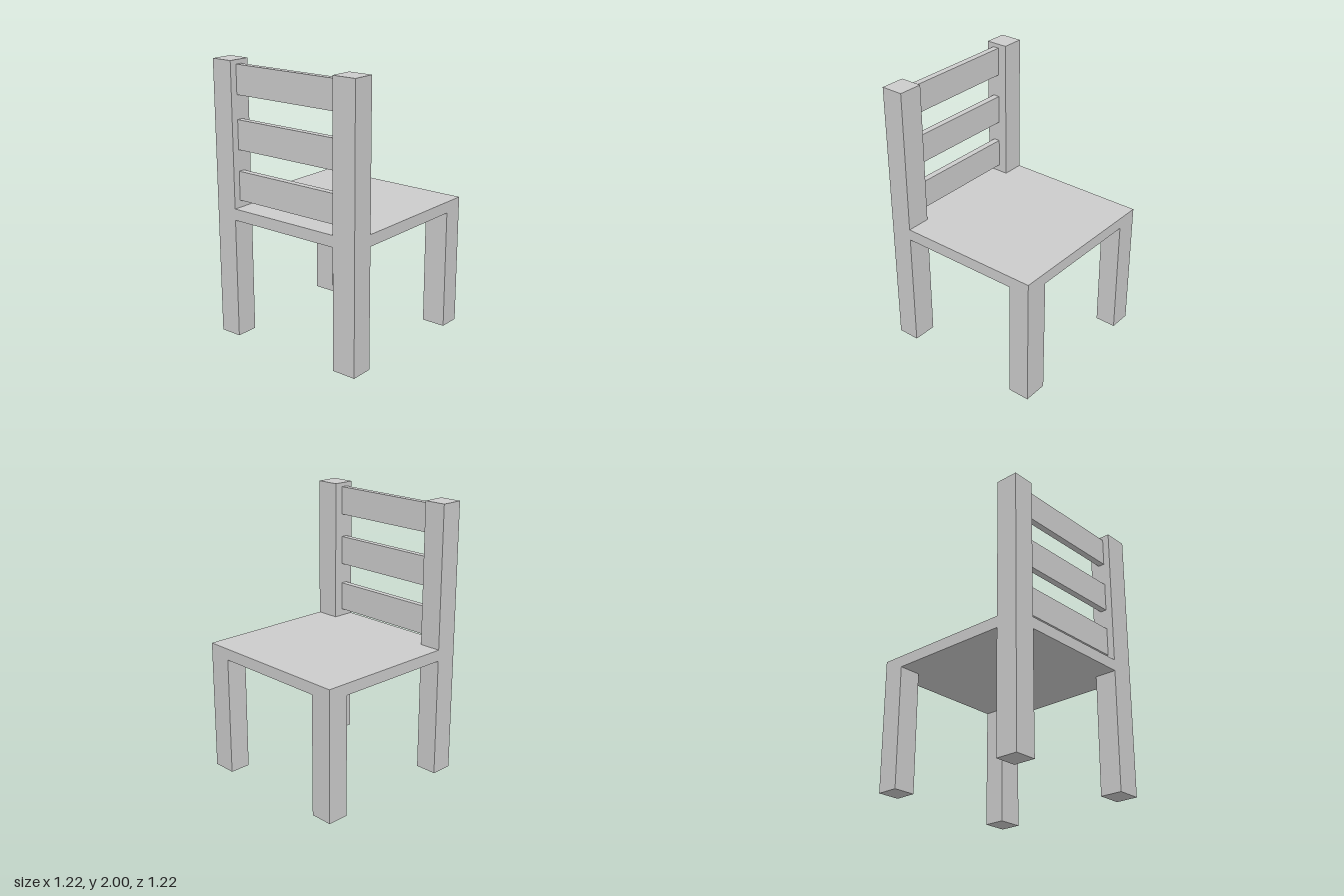
import * as THREE from 'three';

export function createModel() {
  const model = new THREE.Group();
  model.name = 'chair';
  const material = new THREE.MeshStandardMaterial({ color: 0xcccccc, flatShading: true });

  // Box given by its lower and upper limits on each axis
  function block(name, [x0, x1], [y0, y1], [z0, z1]) {
    const mesh = new THREE.Mesh(new THREE.BoxGeometry(x1 - x0, y1 - y0, z1 - z0), material);
    mesh.position.set((x0 + x1) / 2, (y0 + y1) / 2, (z0 + z1) / 2);
    mesh.name = name;
    model.add(mesh);
  }

  const half = 0.612;
  const innerRight = -0.447, innerLeft = 0.432; // inner faces of the legs
  const postZ = 0.447;
  const seatBottom = 0.88, seatTop = 0.963;

  // Tall backrest posts and short legs at the opposite edge
  const sides = { right: [-half, innerRight], left: [innerLeft, half] };
  for (const [side, xRange] of Object.entries(sides)) {
    block(`${side}BackrestPost`, xRange, [0, 2], [postZ, half]);
    block(`${side}ShortLeg`, xRange, [0, seatBottom], [-half, -0.455]);
  }

  // Seat, notched around the posts
  const outline = new THREE.Shape([
    [-half, -half], [half, -half], [half, postZ], [innerLeft, postZ],
    [innerLeft, half], [innerRight, half], [innerRight, postZ], [-half, postZ],
  ].map(([x, z]) => new THREE.Vector2(x, z)));
  const seatGeometry = new THREE.ExtrudeGeometry(outline, {
    depth: seatTop - seatBottom, bevelEnabled: false,
  });
  seatGeometry.rotateX(Math.PI / 2);
  const seat = new THREE.Mesh(seatGeometry, material);
  seat.position.y = seatTop;
  seat.name = 'seat';
  model.add(seat);

  // Backrest slats between the posts
  [[1.015, 1.225], [1.378, 1.59], [1.762, 1.97]].forEach((yRange, i) =>
    block(`backrestSlat${i + 1}`, [innerRight, innerLeft], yRange, [0.513, 0.56]));

  return model;
}
